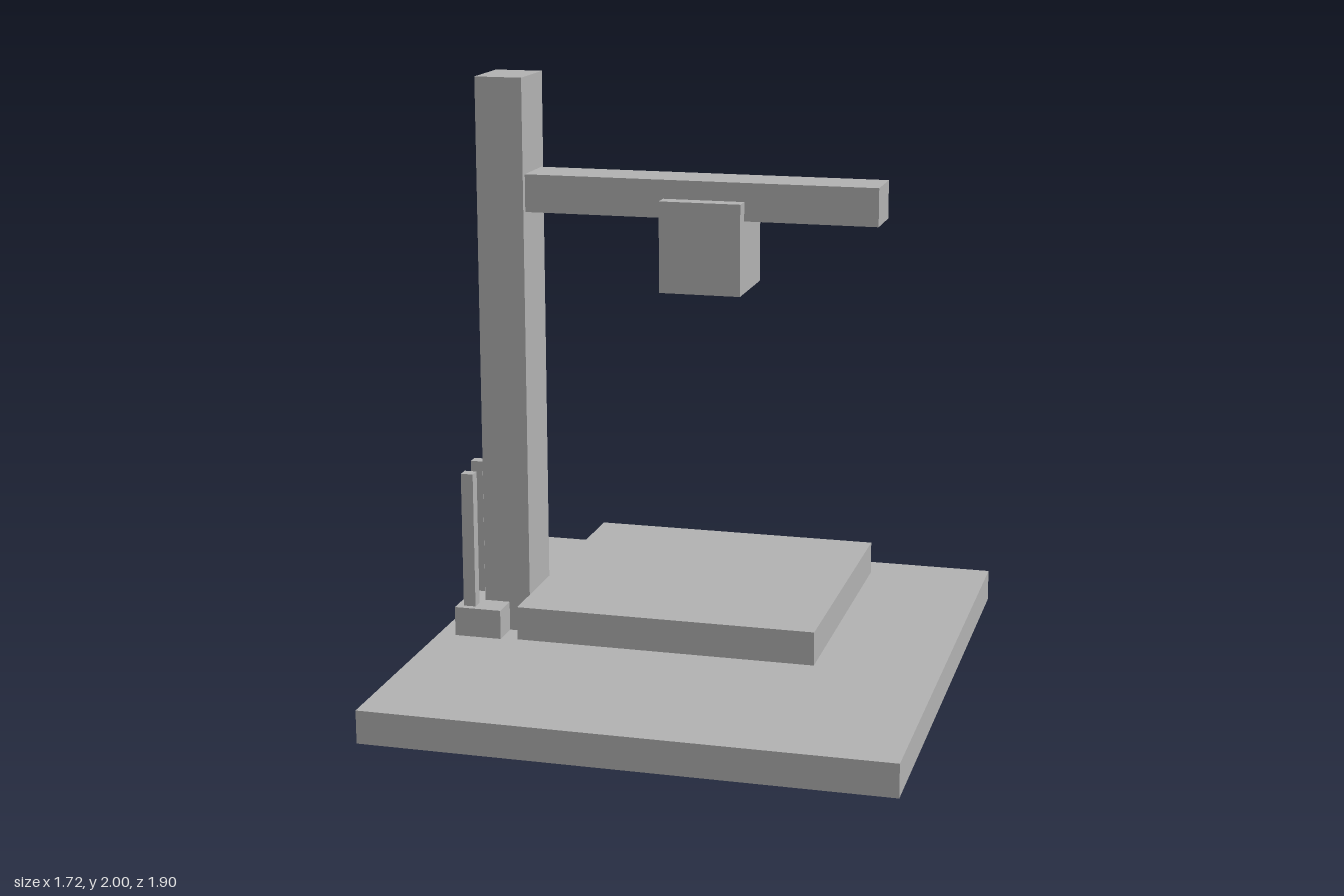
import * as THREE from 'three';

export function createModel() {
  const model = new THREE.Group();
  model.name = 'cameraStand';

  const grey = new THREE.MeshStandardMaterial({ color: 0xb3b3b3 });
  grey.name = 'grey';

  // Box given by its extents along each axis
  function block(name, [x0, x1], [y0, y1], [z0, z1]) {
    const mesh = new THREE.Mesh(new THREE.BoxGeometry(x1 - x0, y1 - y0, z1 - z0), grey);
    mesh.position.set((x0 + x1) / 2, (y0 + y1) / 2, (z0 + z1) / 2);
    mesh.name = name;
    model.add(mesh);
  }

  // Base and the raised work plate
  block('base', [-0.86, 0.86], [0, 0.11], [-0.95, 0.95]);
  block('workPlate', [-0.48, 0.503], [0.22, 0.33], [-0.49, 0.49]);

  // Column, arm and hanging head
  block('column', [-0.725, -0.565], [0.11, 2], [-0.108, 0.108]);
  block('arm', [-0.565, 0.613], [1.557, 1.682], [-0.087, 0.087]);
  block('head', [-0.095, 0.175], [1.32, 1.62], [-0.142, 0.142]);

  // Holder behind the column with three upright rods
  block('rodHolder', [-0.8, -0.638], [0.11, 0.21], [-0.207, 0.207]);
  const rods = [['backRod', -0.755, -0.164], ['middleRod', -0.778, 0], ['frontRod', -0.755, 0.164]];
  for (const [name, x, z] of rods) {
    block(name, [x - 0.021, x + 0.021], [0.21, 0.675], [z - 0.02, z + 0.02]);
  }

  return model;
}
